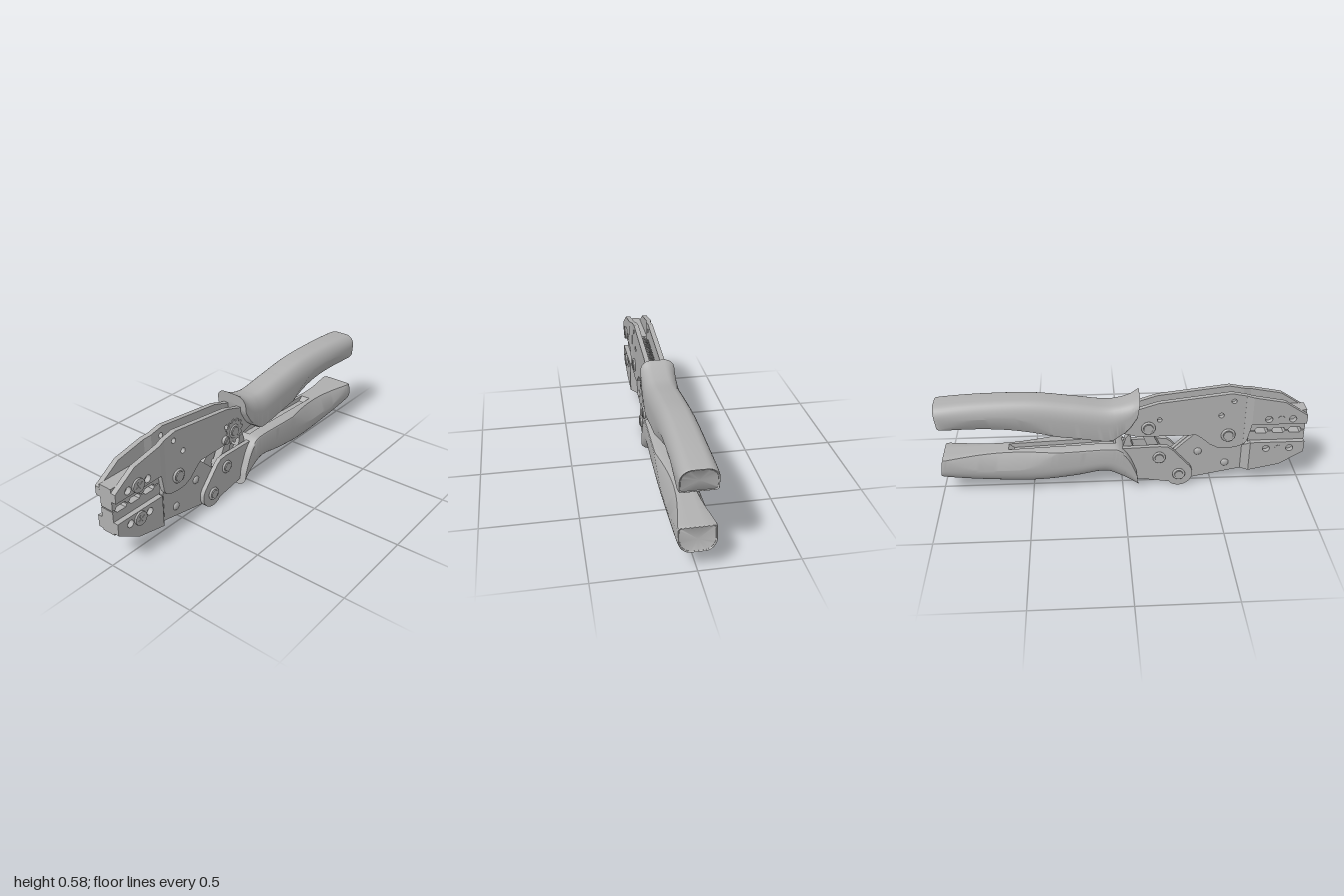
import * as THREE from 'three';
import { toCreasedNormals } from 'three/addons/utils/BufferGeometryUtils.js';

const steel = new THREE.MeshStandardMaterial({ color: 0xb0b0b0 });
steel.name = 'steel grey';

export function createModel() {
  const model = new THREE.Group();
  const add = (name, geo) => {
    const m = new THREE.Mesh(geo, steel);
    m.name = name;
    model.add(m);
    return m;
  };

  // Flat plate from an outline; holes are [x, y, radius]
  const extrude = (pts, z0, z1, holes = []) => {
    const s = new THREE.Shape(pts.map(p => new THREE.Vector2(p[0], p[1])));
    for (const [x, y, r] of holes) s.holes.push(new THREE.Path().absarc(x, y, r, 0, Math.PI * 2, true));
    const g = new THREE.ExtrudeGeometry(s, { depth: z1 - z0, bevelEnabled: false, curveSegments: 10 });
    return g.translate(0, 0, z0);
  };
  // The same plate on the front and the back
  const platePair = (name, pts, z0, z1, holes) => {
    add(name + 'Front', extrude(pts, z0, z1, holes));
    add(name + 'Back', extrude(pts, -z1, -z0, holes));
  };
  // Sloped strip joining head plates to body plates that lie closer to the middle
  const bendPair = (name, pts, x0, x1, shift) => {
    for (const side of [1, -1]) {
      const g = extrude(pts, side > 0 ? 0.038 : -0.066, side > 0 ? 0.066 : -0.038);
      const p = g.attributes.position;
      for (let i = 0; i < p.count; i++)
        p.setZ(i, p.getZ(i) - side * shift * (p.getX(i) - x0) / (x1 - x0));
      g.computeVertexNormals();
      add(name + (side > 0 ? 'Front' : 'Back'), g);
    }
  };
  const disc = (name, x, y, r, z0, z1, sides = 24) =>
    add(name, new THREE.CylinderGeometry(r, r, z1 - z0, sides).rotateX(Math.PI / 2).translate(x, y, (z0 + z1) / 2));

  // Upper jaw: thick head, bend and body reaching into the handle
  const row = y => [[-0.92, y, 0.02], [-0.79, y, 0.02]];
  platePair('upperHeadPlate', [[-1, 0.39], [-0.7, 0.39], [-0.7, 0.558], [-0.87, 0.525], [-1, 0.44]],
    0.038, 0.066, row(0.422));
  bendPair('upperBend', [[-0.7, 0.39], [-0.68, 0.29], [-0.66, 0.26], [-0.66, 0.566], [-0.7, 0.558]], -0.7, -0.66, 0.009);
  platePair('upperBodyPlate', [[-0.66, 0.26], [-0.62, 0.245], [-0.57, 0.24], [-0.52, 0.245], [-0.48, 0.265],
    [-0.43, 0.31], [-0.4, 0.33], [-0.08, 0.33], [0.05, 0.37], [0.05, 0.49], [-0.09, 0.503], [-0.19, 0.535],
    [-0.58, 0.582], [-0.66, 0.566]], 0.029, 0.056,
    [[-0.594, 0.535, 0.014], [-0.53, 0.45, 0.015], [-0.197, 0.433, 0.013]]);

  // Lower jaw: same head, its body slips between the upper plates
  platePair('lowerHeadPlate', [[-1, 0.275], [-1, 0.21], [-0.87, 0.13], [-0.7, 0.095], [-0.7, 0.275]],
    0.038, 0.066, row(0.235));
  bendPair('lowerBend', [[-0.7, 0.095], [-0.66, 0.088], [-0.66, 0.24], [-0.7, 0.275]], -0.7, -0.66, 0.036);
  platePair('lowerBodyPlate', [[-0.66, 0.088], [-0.37, 0.032], [-0.29, 0.07], [-0.27, 0.2], [-0.34, 0.27],
    [-0.4, 0.325], [-0.5, 0.38], [-0.58, 0.395], [-0.66, 0.36]], 0.002, 0.03);
  for (const [x, y] of [[-0.417, 0.208], [-0.572, 0.128]]) for (const s of [1, -1])
    add('rivetDome', new THREE.SphereGeometry(0.022, 16, 10).scale(1, 1, 0.5).translate(x, y, s * 0.03));

  // Crimping dies with three notches along the meeting line
  const die = (name, yOut, dir) => {
    const y = 0.335, pts = [[-1, yOut], [-1, y + dir * 0.003]];
    for (const x of [-0.945, -0.855, -0.76])
      pts.push([x - 0.036, y + dir * 0.003], [x - 0.028, y + dir * 0.016],
        [x + 0.028, y + dir * 0.016], [x + 0.036, y + dir * 0.003]);
    pts.push([-0.69, y + dir * 0.003], [-0.69, yOut]);
    add(name, extrude(pts, -0.038, 0.038));
  };
  die('upperDie', 0.46, 1);
  die('lowerDie', 0.2, -1);

  // Die screws with crossed slots on the front, plain ends on the back
  for (const y of [0.422, 0.235]) {
    disc('dieScrewShank', -0.857, y, 0.02, -0.068, 0.07);
    disc('dieScrewHead', -0.857, y, 0.037, 0.066, 0.077);
    for (const a of [0.5, 0.5 + Math.PI / 2])
      add('screwCross', new THREE.BoxGeometry(0.046, 0.009, 0.004).rotateZ(a).translate(-0.857, y, 0.078));
  }

  // Link plates joining the lower handle to the lower jaw
  const link = [];
  for (let i = 0; i <= 12; i++) {
    const a = Math.PI * (0.8 + 0.9 * i / 12);
    link.push([-0.312 + 0.077 * Math.cos(a), 0.079 + 0.077 * Math.sin(a)]);
  }
  link.push([-0.26, 0.027], [-0.08, 0.055], [0.04, 0.1], [0.04, 0.255], [-0.2, 0.262], [-0.245, 0.258], [-0.27, 0.24]);
  platePair('linkPlate', link, 0.031, 0.056);

  // Pivot pins with retaining rings on both sides
  for (const [x, y, r] of [[-0.574, 0.326, 0.033], [-0.137, 0.385, 0.032], [-0.2, 0.193, 0.029], [-0.312, 0.079, 0.029]]) {
    disc('pivotPin', x, y, r * 0.8, -0.07, 0.07);
    for (const s of [1, -1])
      add('retainingRing', new THREE.TorusGeometry(r, 0.007, 8, 28).translate(x, y, s * 0.06));
  }

  // Ratchet adjusting wheel and its lock screw
  const gear = [];
  for (let i = 0; i < 48; i++) {
    const r = i % 4 < 2 ? 0.072 : 0.058, a = i / 48 * Math.PI * 2;
    gear.push([-0.137 + r * Math.cos(a), 0.385 + r * Math.sin(a)]);
  }
  add('adjustingWheel', extrude(gear, 0.056, 0.061));
  disc('lockScrew', -0.212, 0.363, 0.023, 0.05, 0.074);
  add('lockScrewSlot', new THREE.BoxGeometry(0.034, 0.007, 0.003).rotateZ(0.7).translate(-0.212, 0.363, 0.075));

  // Inner toggle bar, ratchet finger and return spring
  add('toggleBar', extrude([[-0.235, 0.18], [-0.16, 0.18], [-0.09, 0.37], [-0.12, 0.42], [-0.165, 0.4], [-0.175, 0.3]], -0.022, 0.022));
  add('ratchetFinger', extrude([[-0.06, 0.24], [0.0, 0.24], [-0.015, 0.3], [-0.03, 0.32], [-0.045, 0.31], [-0.045, 0.28]], -0.022, 0.022));
  const coil = [];
  for (let i = 0; i <= 220; i++) {
    const t = i / 220, a = t * 22 * Math.PI * 2;
    coil.push(new THREE.Vector3(-0.53 + 0.4 * t, 0.5 - 0.06 * t + 0.02 * Math.cos(a), 0.02 * Math.sin(a)));
  }
  add('returnSpring', new THREE.TubeGeometry(new THREE.CatmullRomCurve3(coil), 440, 0.004, 5));

  // Handle grips: sections swept between an inner and an outer edge line,
  // each station being [outerX, outerY, innerX, innerY, halfWidth]
  const handle = (name, stations, flip) => {
    const outer = new THREE.CatmullRomCurve3(stations.map(s => new THREE.Vector3(s[0], s[1], s[4])), false, 'catmullrom');
    const inner = new THREE.CatmullRomCurve3(stations.map(s => new THREE.Vector3(s[2], s[3], s[4])), false, 'catmullrom');
    const N = 80, pos = [], idx = [];
    let n = 0;
    for (let k = 0; k <= N; k++) {
      const O = outer.getPoint(k / N), I = inner.getPoint(k / N);
      const W = O.z, h = Math.hypot(O.x - I.x, O.y - I.y);
      const t = THREE.MathUtils.clamp((I.x - 0.36) / 0.6, 0, 1);
      const scoop = Math.sin(Math.PI * t);
      const groove = I.x > 0.04 && I.x < 0.62 ? 0.025 : 0;
      const wb = W - 0.04 * scoop, ry = h * 0.48, rx = 0.058;
      const half = [[0, groove], [0.027, groove], [0.028, 0], [wb - 0.012, 0], [wb - 0.004, 0.004], [wb, 0.012],
        [W, Math.min(0.014 + 0.5 * h * scoop, h - ry - 0.002)]];
      for (let i = 0; i <= 8; i++) {
        const a = i / 8 * Math.PI / 2;
        half.push([W - rx + rx * Math.cos(a), h - ry + ry * Math.sin(a)]);
      }
      half.push([0, h]);
      const ring = half.concat(half.slice(1, -1).reverse().map(p => [-p[0], p[1]]));
      n = ring.length;
      for (const [z, v] of ring) pos.push(I.x + (O.x - I.x) * v / h, I.y + (O.y - I.y) * v / h, z);
    }
    const tri = (a, b, c) => flip ? idx.push(a, c, b) : idx.push(a, b, c);
    for (let k = 0; k < N; k++) for (let j = 0; j < n; j++) {
      const a = k * n + j, b = k * n + (j + 1) % n;
      tri(a, a + n, b);
      tri(b, a + n, b + n);
    }
    // End caps
    for (const [k, end] of [[0, false], [N, true]]) {
      const s = stations[end ? stations.length - 1 : 0], c = pos.length / 3;
      pos.push((s[0] + s[2]) / 2, (s[1] + s[3]) / 2, 0);
      for (let j = 0; j < n; j++) {
        const a = k * n + j, b = k * n + (j + 1) % n;
        end ? tri(c, b, a) : tri(c, a, b);
      }
    }
    const g = new THREE.BufferGeometry();
    g.setAttribute('position', new THREE.Float32BufferAttribute(pos, 3));
    g.setIndex(idx);
    add(name, toCreasedNormals(g, 0.6));
  };
  const w = 0.094;
  handle('upperHandle', [
    [-0.09, 0.572, -0.075, 0.465, w], [-0.045, 0.545, -0.03, 0.395, w], [0.02, 0.525, 0.02, 0.355, w],
    [0.105, 0.52, 0.085, 0.325, w], [0.28, 0.545, 0.28, 0.353, w], [0.49, 0.57, 0.49, 0.38, w],
    [0.76, 0.57, 0.76, 0.405, w], [0.978, 0.555, 0.963, 0.425, w], [0.995, 0.546, 0.978, 0.433, 0.084]], false);
  handle('lowerHandle', [
    [-0.087, 0.02, -0.075, 0.112, w], [-0.04, 0.048, -0.037, 0.203, w], [0.016, 0.08, 0.01, 0.262, w],
    [0.107, 0.112, 0.075, 0.278, w], [0.28, 0.083, 0.28, 0.27, w], [0.49, 0.065, 0.49, 0.262, w],
    [0.76, 0.08, 0.76, 0.25, w], [0.978, 0.107, 0.96, 0.24, w], [0.995, 0.117, 0.978, 0.233, 0.084]], true);

  return model;
}
